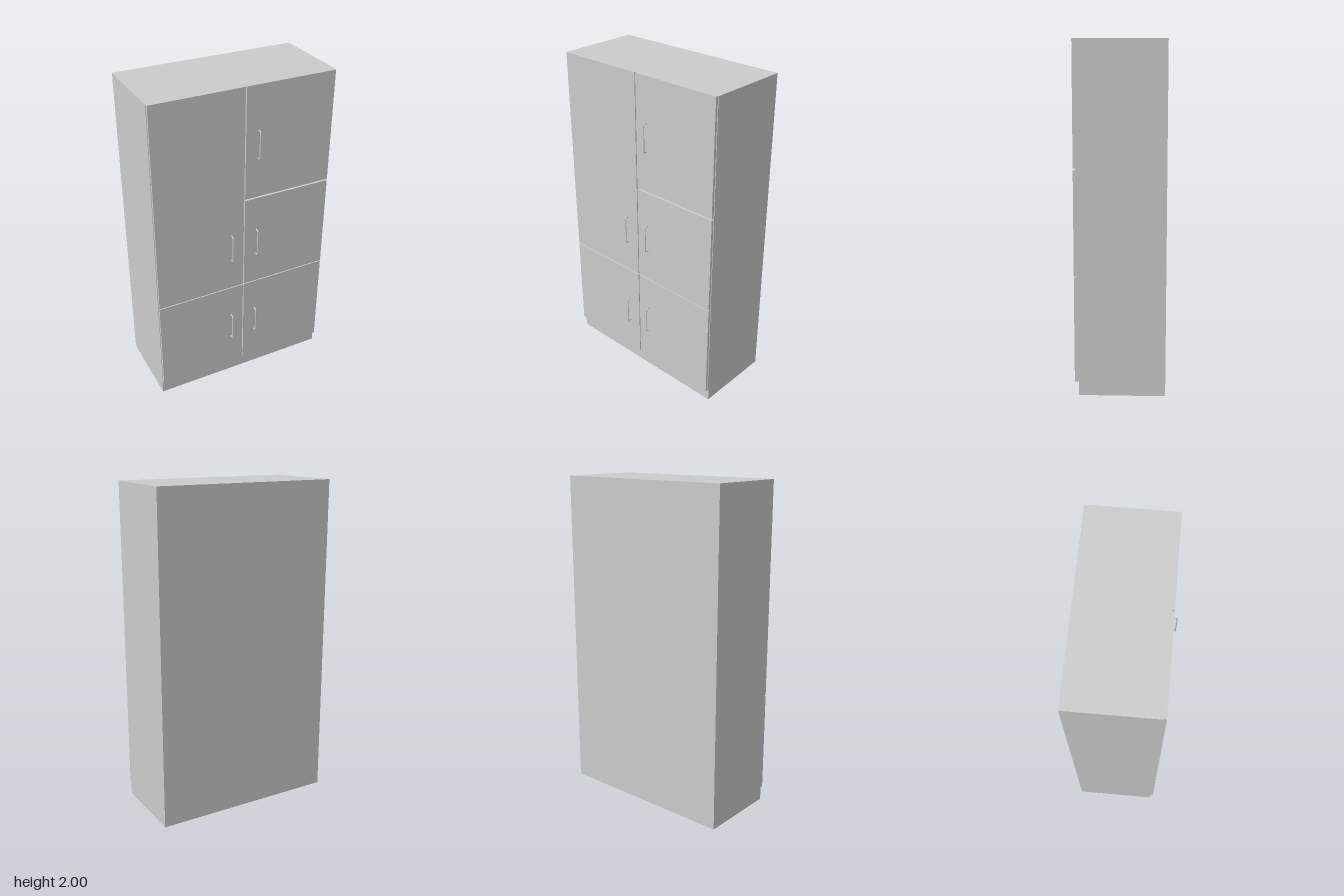
import * as THREE from 'three';

const material = new THREE.MeshStandardMaterial({ color: 0xcccccc });
const thin = new THREE.MeshStandardMaterial({ color: 0xcccccc, side: THREE.DoubleSide });

// Box given by its lower and upper limits on each axis
function block(name, [x0, x1], [y0, y1], [z0, z1], mat = material) {
  const mesh = new THREE.Mesh(new THREE.BoxGeometry(x1 - x0, y1 - y0, z1 - z0), mat);
  mesh.position.set((x0 + x1) / 2, (y0 + y1) / 2, (z0 + z1) / 2);
  mesh.name = name;
  return mesh;
}

const HALF = 0.57, BACK = -0.272, CARCASS = 0.23, FRONT = 0.245;
const BASE = 0.08, SPLIT = 0.695, TOP = 2, BASE_FRONT = 0.222;

// Round bar bent into a bracket, with a small foot at each end
function makeHandle(x, y0, y1) {
  const handle = new THREE.Group();
  handle.name = 'handle';
  const radius = 0.0042, out = 0.272 - radius, bend = 0.013;
  const v = (y, z) => new THREE.Vector3(0, y, z);
  const a = y0 + radius, b = y1 - radius;
  const path = new THREE.CurvePath();
  path.add(new THREE.LineCurve3(v(a, FRONT), v(a, out - bend)));
  path.add(new THREE.QuadraticBezierCurve3(v(a, out - bend), v(a, out), v(a + bend, out)));
  path.add(new THREE.LineCurve3(v(a + bend, out), v(b - bend, out)));
  path.add(new THREE.QuadraticBezierCurve3(v(b - bend, out), v(b, out), v(b, out - bend)));
  path.add(new THREE.LineCurve3(v(b, out - bend), v(b, FRONT)));
  const bar = new THREE.Mesh(new THREE.TubeGeometry(path, 80, radius, 12), material);
  bar.name = 'handleBar';
  handle.add(bar);
  for (const y of [a, b]) {
    const foot = new THREE.Mesh(new THREE.CylinderGeometry(0.0052, 0.0052, 0.003, 16), material);
    foot.rotation.x = Math.PI / 2;
    foot.position.set(0, y, FRONT + 0.0015);
    foot.name = 'handleFoot';
    handle.add(foot);
  }
  handle.position.x = x;
  return handle;
}

export function createModel() {
  const cabinet = new THREE.Group();
  cabinet.name = 'cabinet';

  // Plinth: four thin boards, open underneath
  const plinth = new THREE.Group();
  plinth.name = 'plinth';
  const t = 0.004;
  plinth.add(
    block('plinthFront', [-HALF, HALF], [0, BASE], [BASE_FRONT - t, BASE_FRONT], thin),
    block('plinthBack', [-HALF, HALF], [0, BASE], [BACK, BACK + t], thin));
  for (const s of [-1, 1]) {
    const x = s * (HALF - t / 2);
    plinth.add(block('plinthSide', [x - t / 2, x + t / 2], [0, BASE], [BACK + t, BASE_FRONT - t], thin));
  }
  cabinet.add(plinth);

  // Lower and upper carcass
  cabinet.add(
    block('lowerCarcass', [-HALF, HALF], [BASE, SPLIT], [BACK, CARCASS]),
    block('upperCarcass', [-HALF, HALF], [SPLIT, TOP], [BACK, CARCASS]));

  // Doors with narrow gaps, each with its handle
  const right = [-0.567, -0.005], left = [0.001, 0.566];
  const doors = [
    { x: right, y: [BASE, 0.692], handle: [-0.086, 0.30, 0.482] },
    { x: right, y: [0.698, TOP], handle: [-0.086, 0.90, 1.082] },
    { x: left, y: [BASE, 0.692], handle: [0.08, 0.30, 0.482] },
    { x: left, y: [0.698, 1.295], handle: [0.08, 0.90, 1.082] },
    { x: left, y: [1.305, TOP], handle: [0.08, 1.553, 1.735] },
  ];
  for (const d of doors) {
    cabinet.add(block('door', d.x, d.y, [CARCASS, FRONT]), makeHandle(...d.handle));
  }
  return cabinet;
}
